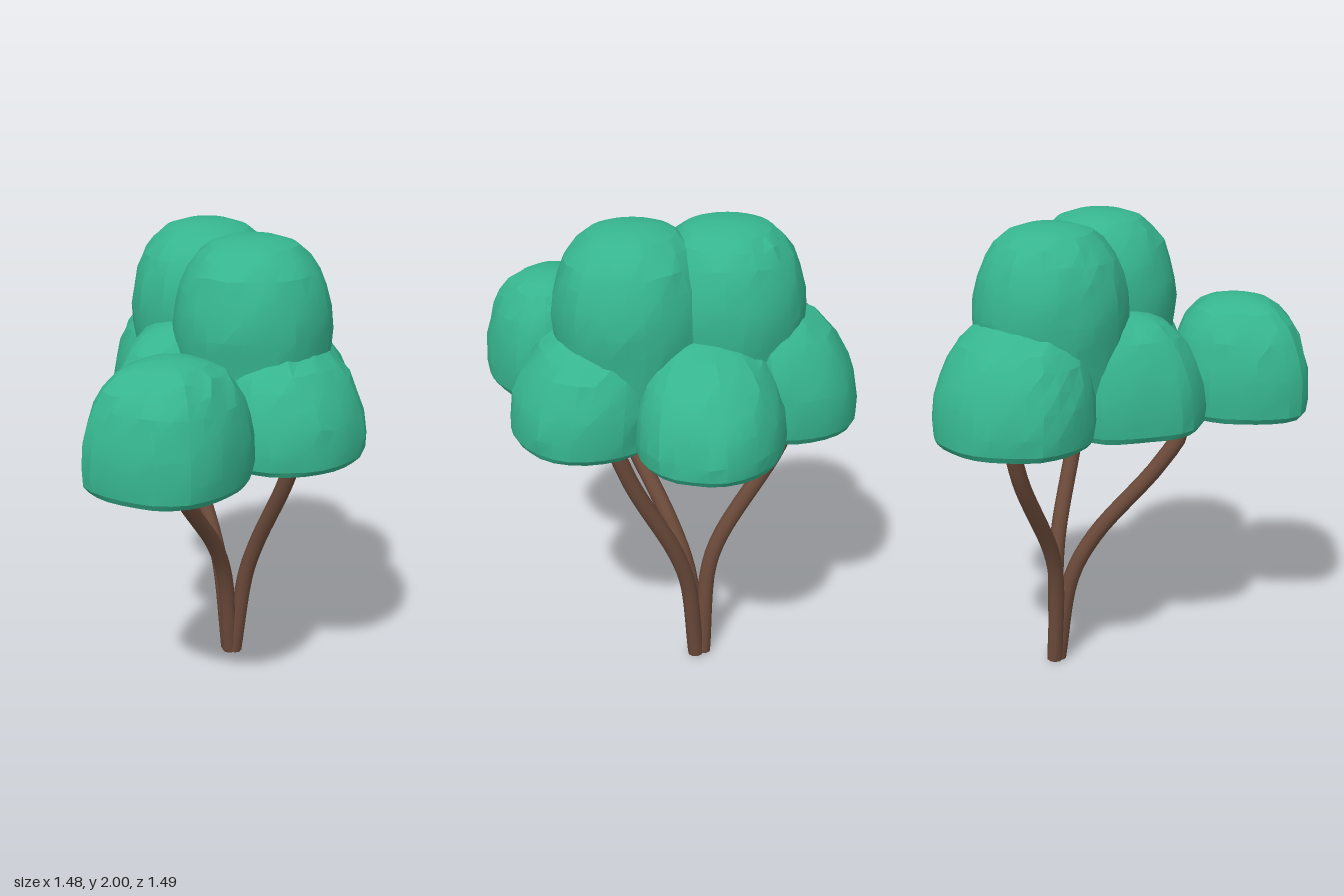
import * as THREE from 'three';
import { toCreasedNormals } from 'three/addons/utils/BufferGeometryUtils.js';

// Small seeded noise for the uneven leaf surface
let seed = 7;
const noise = () => {
  seed = (seed * 16807) % 2147483647;
  return seed / 2147483647 - 0.5;
};

// Height profiles as [scale of the outline, fraction of the height]
const DOME = [[0, 0], [0.93, 0], [0.98, 0.05], [1, 0.18], [0.98, 0.38], [0.93, 0.53], [0.86, 0.67],
  [0.76, 0.79], [0.62, 0.89], [0.44, 0.955], [0.22, 0.99], [0, 1]];
const CROWN = [[0, 0], [0.84, 0], [0.89, 0.15], [0.94, 0.35], [0.98, 0.48], [1, 0.58], [0.975, 0.67],
  [0.92, 0.76], [0.83, 0.845], [0.7, 0.915], [0.54, 0.965], [0.3, 0.995], [0, 1]];

// Leaf clump: a closed outline (x, z) scaled up a profile, its axis leaning along x and z
function clumpGeometry(outline, profile, y0, y1, [leanX, leanZ] = [0, 0]) {
  const n = 28;
  const curve = new THREE.CatmullRomCurve3(outline.map(([x, z]) => new THREE.Vector3(x, 0, z)), true);
  const ring = curve.getSpacedPoints(n).slice(0, n);
  const c = new THREE.Box3().setFromPoints(ring).getCenter(new THREE.Vector3());
  const pos = [], index = [];
  profile.forEach(([s, t], r) => {
    ring.forEach((p, i) => {
      const k = s * (1 + 0.024 * noise());
      const dy = r > 2 && t < 0.95 ? 0.016 * noise() : 0;
      pos.push(c.x + (p.x - c.x) * k + leanX * t * t, y0 + (y1 - y0) * t + dy,
        c.z + (p.z - c.z) * k + leanZ * t * t);
      if (r === profile.length - 1) return;
      const j = (i + 1) % n, a = r * n + i, b = r * n + j;
      if (s > 0) index.push(a, a + n, b);
      if (profile[r + 1][0] > 0) index.push(b, a + n, b + n);
    });
  });
  const g = new THREE.BufferGeometry();
  g.setAttribute('position', new THREE.Float32BufferAttribute(pos, 3));
  g.setIndex(index);
  return toCreasedNormals(g, 0.3);
}

const oval = (cx, cz, rx, rz) => Array.from({ length: 12 }, (_, i) => {
  const a = i / 12 * Math.PI * 2;
  return [cx + Math.cos(a) * rx, cz + Math.sin(a) * rz];
});

export function createModel() {
  const tree = new THREE.Group();
  tree.name = 'tree';
  const leaf = new THREE.MeshStandardMaterial({ color: 0x36b58e });
  leaf.name = 'leaf green';
  const bark = new THREE.MeshStandardMaterial({ color: 0x6b4a3a });
  bark.name = 'bark brown';
  const add = (name, geometry, material) => {
    const m = new THREE.Mesh(geometry, material);
    m.name = name;
    tree.add(m);
    return m;
  };

  // Lower ring of flat-bottomed clumps, leaning in towards the crown
  add('rightFrontClump', clumpGeometry([[-0.1, 0.45], [-0.12, 0.6], [-0.38, 0.74], [-0.57, 0.7],
    [-0.745, 0.41], [-0.66, 0.27], [-0.4, 0.16], [-0.2, 0.24]], DOME, 1.155, 1.65, [0.02, 0]), leaf);
  add('frontClump', clumpGeometry([[0.49, 0.42], [0.41, 0.59], [0.16, 0.69], [-0.06, 0.61],
    [-0.145, 0.45], [-0.1, 0.2], [0.15, 0.1], [0.43, 0.2]], DOME, 1.155, 1.62, [-0.02, -0.1]), leaf);
  add('leftClump', clumpGeometry([[0.745, -0.08], [0.64, 0.16], [0.44, 0.22], [0.2, 0.15],
    [0.15, -0.1], [0.25, -0.3], [0.46, -0.375], [0.65, -0.275]], DOME, 1.155, 1.61, [-0.16, 0]), leaf);
  add('backClump', clumpGeometry([[0.475, -0.48], [0.45, -0.32], [0.15, -0.2], [-0.15, -0.3],
    [-0.18, -0.48], [-0.1, -0.64], [0.15, -0.745], [0.39, -0.66]], DOME, 1.165, 1.66, [0, 0.1]), leaf);
  add('rightClump', clumpGeometry([[0.15, 0], [0.1, 0.2], [-0.15, 0.25], [-0.4, 0.17],
    [-0.44, -0.02], [-0.38, -0.13], [-0.17, -0.31], [0.05, -0.25]], DOME, 1.155, 1.64, [0.06, 0]), leaf);

  // Two tall crown clumps
  add('frontCrown', clumpGeometry(oval(0.12, 0.18, 0.325, 0.32), CROWN, 1.16, 2), leaf);
  add('backCrown', clumpGeometry(oval(0.12, -0.2, 0.318, 0.32), CROWN, 1.16, 2), leaf);

  // Bent stems rising from a shared foot
  const stems = {
    rightStem: [[0.18, 0.008, -0.085], [0.13, 0.4, -0.05], [0.045, 0.6, 0.01], [-0.19, 0.93, 0.16],
      [-0.265, 1.09, 0.22], [-0.235, 1.2, 0.2]],
    frontStem: [[0.195, 0.008, -0.075], [0.225, 0.4, -0.03], [0.245, 0.58, 0.03], [0.275, 0.93, 0.21],
      [0.285, 1.15, 0.295], [0.285, 1.2, 0.31]],
    backStem: [[0.185, 0.008, -0.108], [0.155, 0.42, -0.135], [0.145, 0.58, -0.19], [0.125, 0.97, -0.43],
      [0.12, 1.15, -0.5], [0.12, 1.2, -0.515]],
  };
  for (const [name, pts] of Object.entries(stems)) {
    const curve = new THREE.CatmullRomCurve3(pts.map((p) => new THREE.Vector3(...p)));
    add(name, new THREE.TubeGeometry(curve, 24, 0.035, 10), bark);
    // Cut end of the stem
    const foot = add(name + 'Foot', new THREE.CircleGeometry(0.035, 10), bark);
    foot.position.copy(curve.getPoint(0));
    foot.lookAt(curve.getPoint(0).sub(curve.getTangent(0)));
  }
  return tree;
}
